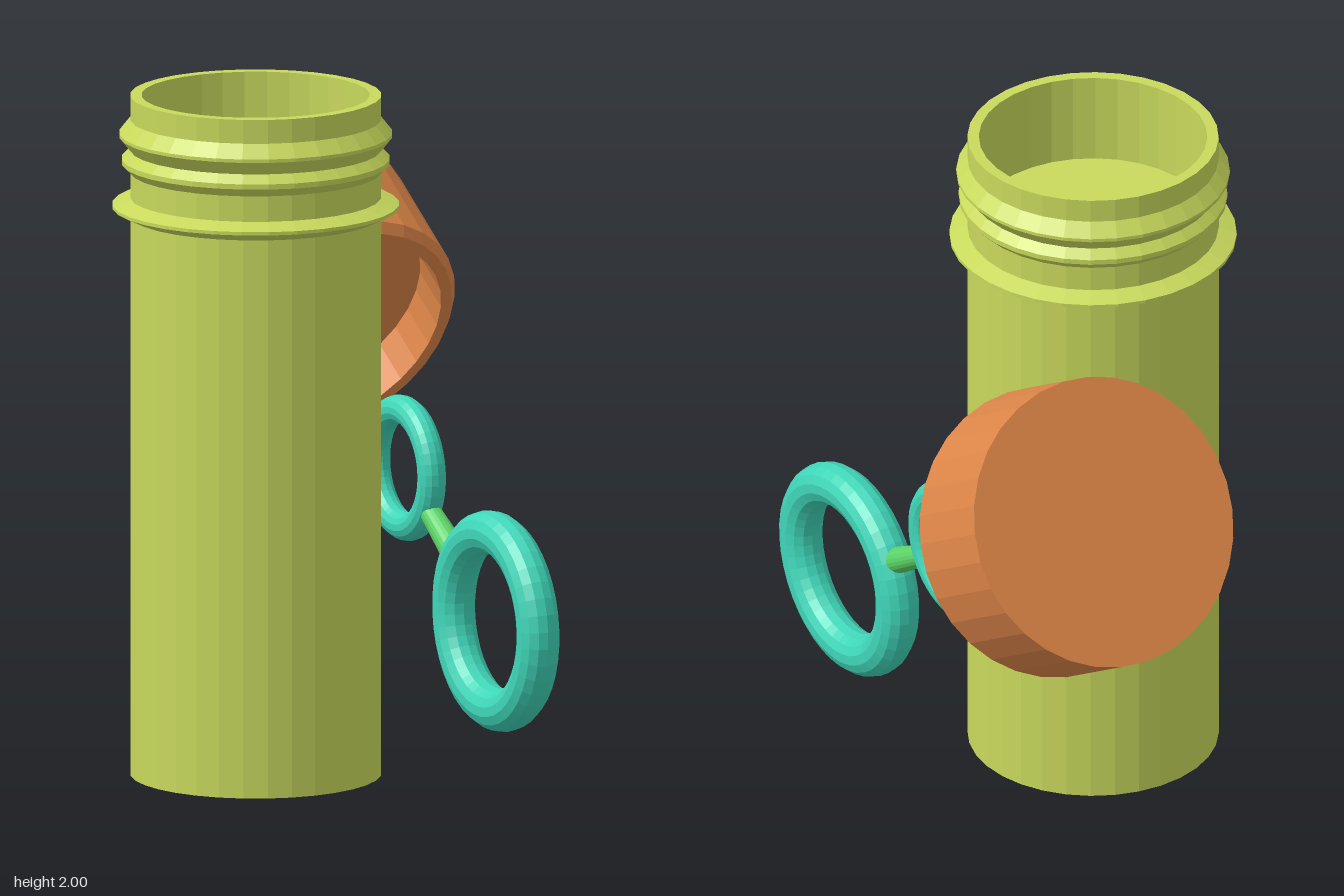
import * as THREE from 'three';

const SIDES = 32;
const material = (color) => new THREE.MeshStandardMaterial({ color, flatShading: true });

function addMesh(parent, name, geometry, mat) {
  const mesh = new THREE.Mesh(geometry, mat);
  mesh.name = name;
  parent.add(mesh);
  return mesh;
}

const lathe = (points) =>
  new THREE.LatheGeometry(points.map(([r, y]) => new THREE.Vector2(r, y)), SIDES);

export function createModel() {
  const model = new THREE.Group();
  model.name = 'bubbleWandSet';
  const lime = material(0xc8d95c);
  const orange = material(0xde8648);
  const green = material(0x5cd468);
  const teal = material(0x3fd6b8);

  // Bottle: collar, two thread ridges, and a filled level inside the neck
  const bottle = addMesh(model, 'bottle', lathe([
    [0, 0], [0.363, 0],
    [0.363, 1.645], [0.415, 1.67], [0.415, 1.68], [0.363, 1.7],
    [0.363, 1.775], [0.388, 1.8], [0.388, 1.815], [0.363, 1.84],
    [0.395, 1.88], [0.395, 1.89], [0.363, 1.93],
    [0.363, 2], [0.33, 2],
    [0.33, 1.73], [0, 1.73],
  ]), lime);
  bottle.position.set(-0.27, 0, 0.165);

  // Wand: built along its own y axis from the big ring's centre, then tilted back
  const wand = new THREE.Group();
  wand.name = 'wand';
  wand.position.set(0.265, 0.482, 0.635);
  wand.rotation.x = -1.017;
  model.add(wand);

  // Cap: open towards the rings, with a chamfered rim
  addMesh(wand, 'cap', lathe([
    [0, 1.38], [0.365, 1.38], [0.365, 1.23], [0.4, 1.23],
    [0.422, 1.26], [0.422, 1.602], [0, 1.602],
  ]), orange);

  // Rings: name, radius, tube radius, position along the wand
  for (const [name, radius, tube, y] of [
    ['bigRing', 0.259, 0.063, 0],
    ['smallRing', 0.171, 0.042, 0.664],
  ]) {
    const ring = addMesh(wand, name, new THREE.TorusGeometry(radius, tube, 14, 40), teal);
    ring.rotation.y = Math.PI / 2;
    ring.position.y = y;
  }

  // Rods: name, start and end along the wand, radius at each
  for (const [name, y0, y1, r0, r1] of [
    ['lowerRod', 0.27, 0.49, 0.041, 0.031],
    ['upperRod', 0.84, 1.385, 0.028, 0.07],
  ]) {
    const rod = addMesh(wand, name, new THREE.CylinderGeometry(r1, r0, y1 - y0, 20), green);
    rod.position.y = (y0 + y1) / 2;
  }

  return model;
}
